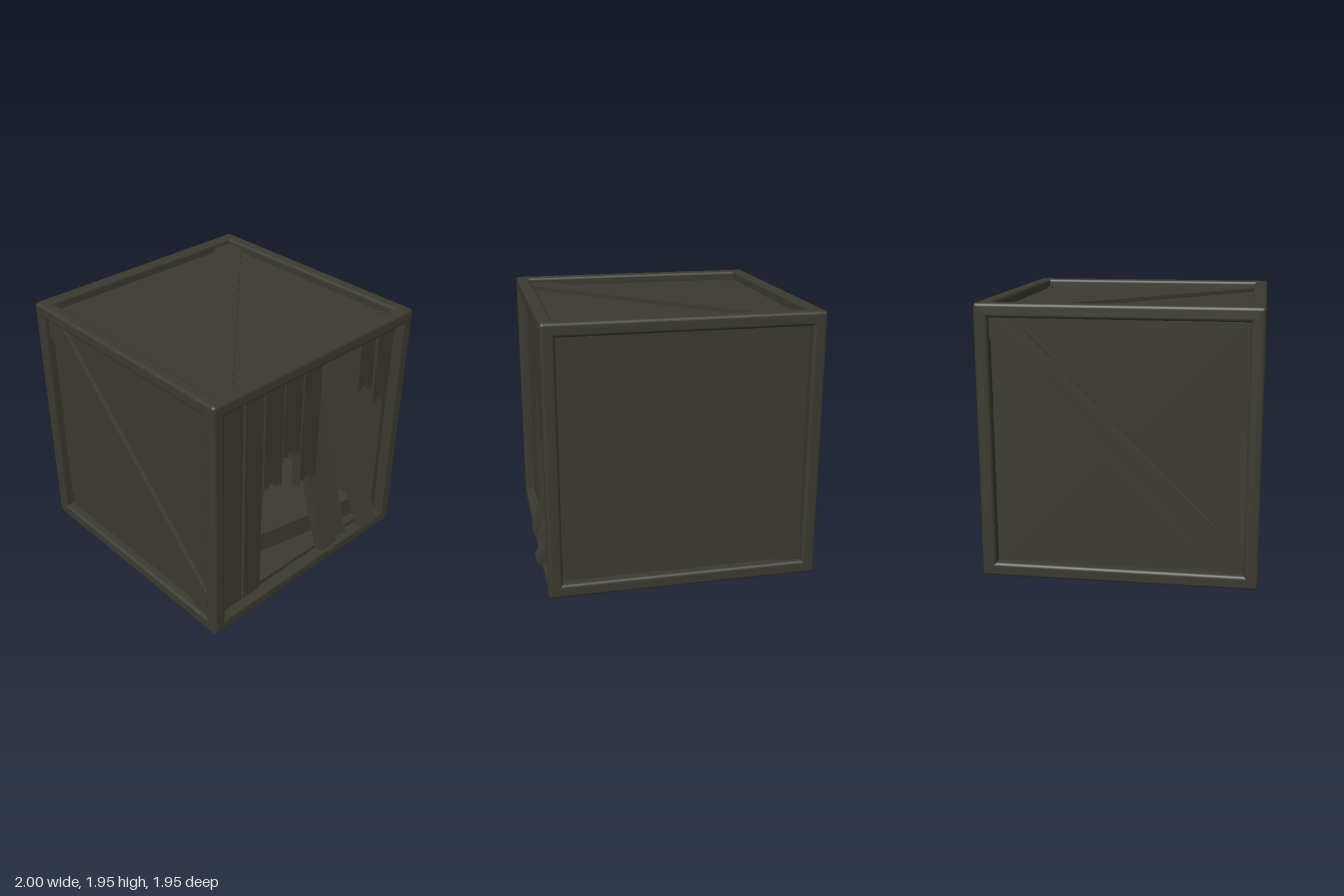
import * as THREE from 'three';
import { RoundedBoxGeometry } from 'three/addons/geometries/RoundedBoxGeometry.js';

export function createModel() {
  const model = new THREE.Group();
  model.name = 'brokenCrate';
  const crate = new THREE.Group();
  crate.name = 'crate';
  crate.position.set(-0.0275, 0.9725, 0); // the loose boards stick out on +x
  model.add(crate);

  const frameMat = new THREE.MeshStandardMaterial({ color: 0x3b3a30 });
  frameMat.name = 'frameWood';
  const boardMat = new THREE.MeshStandardMaterial({ color: 0x3b3931 });
  boardMat.name = 'boardWood';

  const H = 0.9725; // half size of the crate
  const B = 0.1;    // beam width
  const O = H - B;  // half size of each opening
  const F = H - 0.07; // distance of the recessed panels

  function add(parent, name, geometry, material, x = 0, y = 0, z = 0) {
    const mesh = new THREE.Mesh(geometry, material);
    mesh.name = name;
    mesh.position.set(x, y, z);
    parent.add(mesh);
    return mesh;
  }

  // Twelve rounded beams
  const c = H - B / 2;
  for (const a of [-c, c]) for (const b of [-c, c]) {
    add(crate, 'beamX', new RoundedBoxGeometry(2 * H, B, B, 3, 0.025), frameMat, 0, a, b);
    add(crate, 'beamY', new RoundedBoxGeometry(B, 2 * H, B, 3, 0.025), frameMat, a, 0, b);
    add(crate, 'beamZ', new RoundedBoxGeometry(B, B, 2 * H, 3, 0.025), frameMat, a, b, 0);
  }

  // Closed sides: recessed panel with a diagonal brace
  const w = 0.15;
  const braceShape = new THREE.Shape([
    [-O, O], [-O, O - w], [O - w, -O], [O, -O], [O, w - O], [w - O, O],
  ].map(([x, y]) => new THREE.Vector2(x, y)));
  const braceGeo = new THREE.ExtrudeGeometry(braceShape, { depth: 0.03, bevelEnabled: false });
  const panelGeo = new THREE.BoxGeometry(2 * O + 0.02, 2 * O + 0.02, 0.06);

  function side(name, rx, ry, braced = true) {
    const g = new THREE.Group();
    g.name = name;
    g.rotation.set(rx, ry, 0);
    add(g, 'panel', panelGeo, boardMat, 0, 0, F - 0.03);
    if (braced) add(g, 'diagonalBrace', braceGeo, boardMat, 0, 0, F);
    crate.add(g);
  }
  side('frontSide', 0, 0);
  side('backSide', 0, Math.PI);
  side('rightSide', 0, -Math.PI / 2);
  side('topSide', -Math.PI / 2, 0);
  side('bottomSide', Math.PI / 2, 0, false);

  // Boards of the broken side: [front z, back z, height of the broken end above the ground]
  const T = 0.08;
  const jag = [-0.06, 0.05, -0.02, 0.07, 0.0, 0.08, -0.04, 0.04, -0.06];
  const boards = [
    [0.83, 0.655, 0], [0.63, 0.465, 0], [0.45, 0.275, 1.01], [0.265, 0.095, 1.19],
    [0.08, -0.09, 0.89], [-0.5, -0.66, 1.42], [-0.69, -0.86, 1.24],
  ];
  for (const [z0, z1, end] of boards) {
    const points = [new THREE.Vector2(-z1, O), new THREE.Vector2(-z0, O)];
    if (end) {
      jag.forEach((d, i) => points.push(new THREE.Vector2(-z0 + (z0 - z1) * i / (jag.length - 1), end + d - H)));
    } else {
      points.push(new THREE.Vector2(-z0, -O), new THREE.Vector2(-z1, -O));
    }
    const geo = new THREE.ExtrudeGeometry(new THREE.Shape(points), { depth: T, bevelEnabled: false });
    geo.rotateY(Math.PI / 2);
    add(crate, end ? 'splinteredBoard' : 'wholeBoard', geo, boardMat, F - T);
  }

  // Loose boards, placed by the outer lower edge and leaning into the crate
  function looseBoard(x, y, z, width, length, lean, roll = 0) {
    const geo = new THREE.BoxGeometry(T, length, width);
    geo.translate(-T / 2, length / 2, 0);
    const mesh = add(crate, 'looseBoard', geo, boardMat, x + 0.0275, y - H, z);
    mesh.rotation.set(roll, 0, lean);
  }
  looseBoard(0.98, 0.18, -0.19, 0.165, 1.71, 0.29);
  looseBoard(0.95, 0.19, -0.33, 0.15, 1.73, 0.38, -0.1);
  looseBoard(1.0, 0.17, -0.655, 0.165, 1.4, 0.45);
  looseBoard(0.84, 0.19, 0.84, 0.07, 0.65, 0.3);

  // Board lying on the floor
  const fallen = add(crate, 'fallenBoard', new THREE.BoxGeometry(T, 0.17, 1.5), boardMat, 0.68, 0.225 - H, -0.1);
  fallen.rotation.y = -0.2;

  // Small splinters poking through the panels
  const chip = (sx, sy, sz, x, y, z) =>
    add(crate, 'splinter', new THREE.BoxGeometry(sx, sy, sz), boardMat, x + 0.0275, y, z);
  chip(0.02, 0.09, 0.03, -0.885, 0.195 - H, F);
  chip(0.12, 0.03, 0.04, -0.84, F, 0.845);
  chip(0.06, 0.03, 0.03, 0.765, F, -0.855);
  chip(0.04, 0.02, 0.17, 0.825, F, 0.535);

  return model;
}
